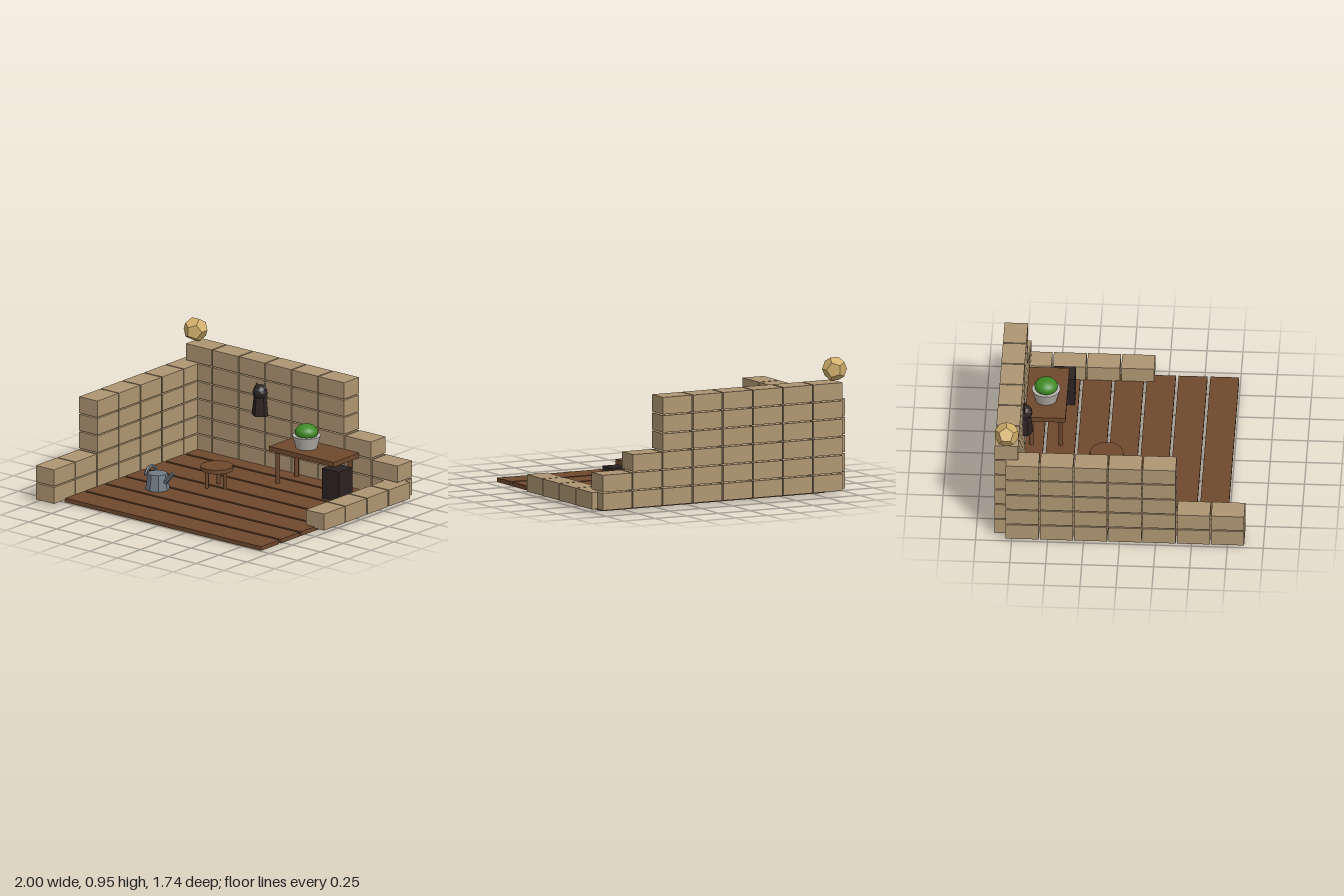
import * as THREE from 'three';

const mat = (name, color, flatShading = false) => {
  const m = new THREE.MeshStandardMaterial({ color, flatShading });
  m.name = name;
  return m;
};

export function createModel() {
  const stone = mat('stone', 0xae9572);
  const wood = mat('wood', 0x6f492d);
  const black = mat('black', 0x2c2323, true);
  const gold = mat('gold', 0xd2b06c, true);
  const metal = mat('metal', 0x717d87, true);
  const clay = mat('clay', 0xb9b4ac);
  const leaf = mat('leaf', 0x3f8a24);

  const root = new THREE.Group();
  root.name = 'gardenRuin';
  const group = (name) => {
    const g = new THREE.Group();
    g.name = name;
    root.add(g);
    return g;
  };
  const add = (parent, name, geo, material, x, y, z) => {
    const m = new THREE.Mesh(geo, material);
    m.name = name;
    m.position.set(x, y, z);
    parent.add(m);
    return m;
  };

  // Plank floor
  const floor = group('floor');
  const plank = new THREE.BoxGeometry(1.76, 0.03, 0.2);
  for (let i = 0; i < 7; i++) add(floor, 'plank', plank, wood, 0.035, 0.015, -0.68 + i * 0.22);

  // Stepped brick walls: the number of bricks in each row, bottom first
  const pitch = 0.238, rise = 0.128, len = 0.229, high = 0.119, deep = 0.163;
  const wallRows = (name, rows, geo, place) => {
    const wall = group(name);
    rows.forEach((count, r) => {
      for (let i = 0; i < count; i++) {
        const [x, z] = place(i * pitch + len / 2);
        add(wall, 'brick', geo, stone, x, 0.02 + r * rise + high / 2, z);
      }
    });
  };
  const alongX = new THREE.BoxGeometry(len, high, deep);
  const alongZ = new THREE.BoxGeometry(deep, high, len);
  wallRows('backWall', [8, 8, 7, 6, 6, 6], alongX, (d) => [-0.94 + d, -0.788]);
  wallRows('rightWall', [7, 7, 5, 5, 5], alongZ, (d) => [-0.9185, -0.79 + d]);
  wallRows('leftWall', [4], alongZ, (d) => [0.9185, -0.79 + d]);

  // Faceted lantern on the corner
  add(root, 'lantern', new THREE.DodecahedronGeometry(0.087), gold, -0.92, 0.867, -0.788);

  // Table with four round legs
  const table = group('table');
  add(table, 'tableTop', new THREE.BoxGeometry(0.58, 0.036, 0.28), wood, 0.325, 0.278, -0.565);
  const tableLeg = new THREE.CylinderGeometry(0.016, 0.016, 0.23, 8);
  for (const sx of [-1, 1]) for (const sz of [-1, 1])
    add(table, 'tableLeg', tableLeg, wood, 0.325 + sx * 0.24, 0.145, -0.563 + sz * 0.102);

  // Potted bush
  const plant = group('pottedPlant');
  add(plant, 'pot', new THREE.CylinderGeometry(0.1, 0.075, 0.09, 16), clay, 0.253, 0.341, -0.57);
  add(plant, 'bush', new THREE.SphereGeometry(0.081, 20, 14), leaf, 0.253, 0.41, -0.57).scale.y = 0.7;

  // Dark crate under the end of the table
  add(root, 'crate', new THREE.BoxGeometry(0.15, 0.22, 0.148), black, 0.62, 0.14, -0.458);

  // Three-legged stool
  const stool = group('stool');
  add(stool, 'stoolSeat', new THREE.CylinderGeometry(0.118, 0.118, 0.03, 10), wood, -0.19, 0.17, -0.128);
  const stoolLeg = new THREE.CylinderGeometry(0.014, 0.014, 0.13, 8);
  for (let i = 0; i < 3; i++) {
    const a = (i * Math.PI * 2) / 3;
    add(stool, 'stoolLeg', stoolLeg, wood, -0.19 + 0.075 * Math.cos(a), 0.093, -0.128 + 0.075 * Math.sin(a));
  }

  // Cat figure set against the back wall
  const cat = group('cat');
  add(cat, 'catBody', new THREE.CylinderGeometry(0.05, 0.066, 0.14, 6), black, -0.262, 0.47, -0.7);
  add(cat, 'catHead', new THREE.IcosahedronGeometry(0.056, 1), black, -0.262, 0.565, -0.695);
  for (const s of [-1, 1])
    add(cat, 'catEar', new THREE.ConeGeometry(0.02, 0.045, 4), black, -0.262 + s * 0.033, 0.608, -0.695);

  // Watering can with hoop handle and spout
  const can = group('wateringCan');
  add(can, 'canBody', new THREE.CylinderGeometry(0.069, 0.085, 0.115, 8), metal, -0.48, 0.0875, 0.168);
  const hoop = add(can, 'canHandle', new THREE.TorusGeometry(0.056, 0.012, 6, 12, Math.PI), metal, -0.538, 0.128, 0.17);
  hoop.rotation.y = Math.PI / 2;
  const from = new THREE.Vector3(-0.43, 0.075, 0.168), to = new THREE.Vector3(-0.335, 0.172, 0.168);
  const dir = to.clone().sub(from);
  const spout = add(can, 'canSpout', new THREE.CylinderGeometry(0.011, 0.02, dir.length(), 6), metal, 0, 0, 0);
  spout.position.copy(from).lerp(to, 0.5);
  spout.quaternion.setFromUnitVectors(new THREE.Vector3(0, 1, 0), dir.normalize());

  return root;
}
